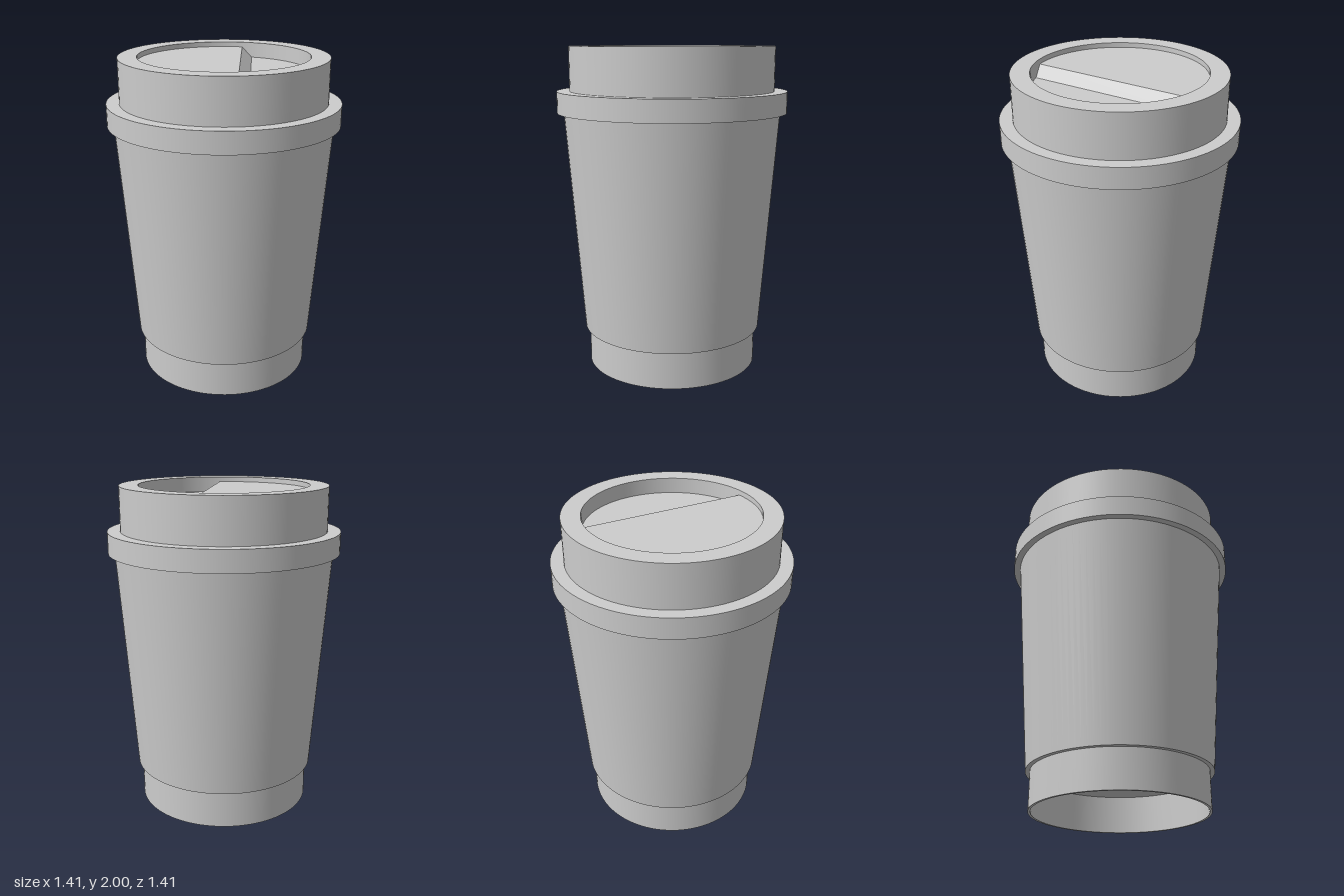
import * as THREE from 'three';
import { mergeGeometries } from 'three/addons/utils/BufferGeometryUtils.js';

const SEG = 96;
const RECESS = 0.513;            // radius of the recess in the lid
const HIGH = 1.97, LOW = 1.907;  // two levels of the recess floor
const EDGE_HIGH = 0.097, EDGE_LOW = 0.159; // chord offsets of the sloping step

// Revolve a profile with hard edges: each segment is its own smooth band.
function revolve(profile) {
  const bands = [];
  for (let i = 0; i < profile.length - 1; i++) {
    const pts = [profile[i], profile[i + 1]].map(([r, y]) => new THREE.Vector2(r, y));
    bands.push(new THREE.LatheGeometry(pts, SEG));
  }
  return mergeGeometries(bands);
}

// Flat piece of a disc cut by a chord, facing up at height y.
function discSegment(from, to, y) {
  const shape = new THREE.Shape();
  shape.absarc(0, 0, RECESS, from, to, false);
  shape.closePath();
  return new THREE.ShapeGeometry(shape, 64).rotateX(-Math.PI / 2).translate(0, y, 0);
}

// Sloping strip that joins the two floor levels.
function slope() {
  const a = Math.sqrt(RECESS ** 2 - EDGE_HIGH ** 2);
  const b = Math.sqrt(RECESS ** 2 - EDGE_LOW ** 2);
  const g = new THREE.BufferGeometry();
  g.setAttribute('position', new THREE.Float32BufferAttribute([
    -a, HIGH, EDGE_HIGH, -b, LOW, EDGE_LOW, b, LOW, EDGE_LOW, a, HIGH, EDGE_HIGH,
  ], 3));
  g.setIndex([0, 1, 2, 0, 2, 3]);
  g.computeVertexNormals();
  return g;
}

export function createModel() {
  const group = new THREE.Group();
  const grey = new THREE.MeshStandardMaterial({ color: 0xcccccc });
  grey.name = 'plain grey';

  const add = (name, geometry, parent = group) => {
    const mesh = new THREE.Mesh(geometry, grey);
    mesh.name = name;
    parent.add(mesh);
    return mesh;
  };

  // Hollow foot: raised underside, inner wall, thin rim, outer wall
  add('cupBase', revolve([[0, 0.23], [0.52, 0.23], [0.52, 0], [0.535, 0], [0.535, 0.235]]));

  // Tapered sleeve with its lower lip
  add('sleeve', revolve([[0.535, 0.235], [0.562, 0.235], [0.665, 1.602]]));

  // Lid: wide brim, raised collar and recess wall
  add('lid', revolve([
    [0.665, 1.602], [0.705, 1.602], [0.705, 1.732], [0.627, 1.732],
    [0.627, 2], [RECESS, 2], [RECESS, LOW],
  ]));

  // Recessed lid top in two levels, turned about the vertical axis
  const top = new THREE.Group();
  top.name = 'lidTop';
  top.rotation.y = 0.664;
  group.add(top);
  const a = Math.asin(EDGE_HIGH / RECESS), b = Math.asin(EDGE_LOW / RECESS);
  add('upperFloor', discSegment(-a, Math.PI + a, HIGH), top);
  add('lowerFloor', discSegment(Math.PI + b, 2 * Math.PI - b, LOW), top);
  add('slopedStep', slope(), top);

  return group;
}
